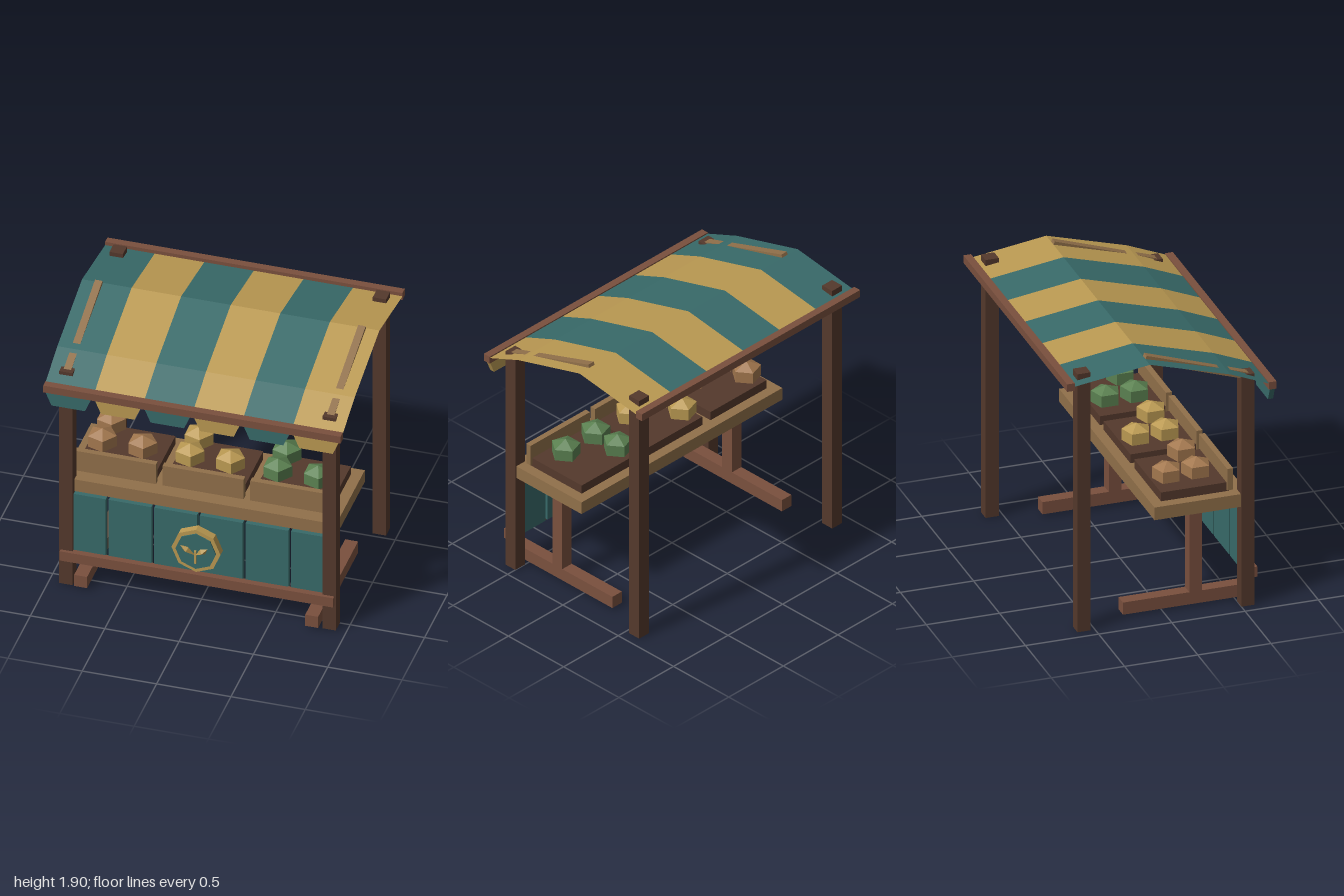
import * as THREE from 'three';

const mat = (name, color, side = THREE.FrontSide) =>
  new THREE.MeshStandardMaterial({ name, color, side, flatShading: true });

export function createModel() {
  const root = new THREE.Group();
  root.name = 'marketStall';

  const darkWood = mat('dark wood', 0x54392c);
  const redWood = mat('red wood', 0x7a503e);
  const wood = mat('light wood', 0x91704a);
  const teal = mat('teal', 0x386a69, THREE.DoubleSide);
  const gold = mat('gold', 0xba9952, THREE.DoubleSide);
  const tan = mat('tan produce', 0xa2774e);
  const green = mat('green produce', 0x5a8050);

  function add(name, geometry, material, x = 0, y = 0, z = 0) {
    const m = new THREE.Mesh(geometry, material);
    m.name = name;
    m.position.set(x, y, z);
    root.add(m);
    return m;
  }
  // Box given by its minimum and maximum on each axis
  const box = (name, material, [x0, x1], [y0, y1], [z0, z1]) =>
    add(name, new THREE.BoxGeometry(x1 - x0, y1 - y0, z1 - z0), material,
      (x0 + x1) / 2, (y0 + y1) / 2, (z0 + z1) / 2);
  const around = (c, size) => [c - size / 2, c + size / 2];

  // Posts, rafters and trestle legs, mirrored
  for (const s of [-1, 1]) {
    const px = around(s * 0.885, 0.09);
    box('frontPost', darkWood, px, [0, 1.66], [0.5, 0.59]);
    box('backPost', darkWood, px, [0, 1.85], [-0.62, -0.53]);

    const rafter = add('rafter', new THREE.BoxGeometry(0.05, 0.047, 0.763), wood, s * 0.885, 1.751, 0.213);
    rafter.rotation.x = 0.325;

    const lx = around(s * 0.777, 0.087);
    box('trestleLeg', redWood, lx, [0.1, 0.695], [0.183, 0.27]);
    box('trestleFoot', redWood, lx, [0.018, 0.105], [-0.27, 0.62]);
  }

  // Horizontal beams
  box('frontBeam', redWood, [-1, 1], [1.562, 1.615], [0.663, 0.715]);
  box('backBeam', redWood, [-1, 1], [1.772, 1.826], [-0.715, -0.663]);
  box('lowerRail', redWood, [-0.92, 0.92], [0.193, 0.265], [0.563, 0.613]);

  // Striped canopy bent over three slopes, with a flap under each stripe
  const profile = [[0.69, 1.595], [0.4, 1.715], [-0.15, 1.874], [-0.69, 1.797]];
  const flapShape = new THREE.Shape([
    [-0.155, 0.1], [-0.113, 0], [0.113, 0], [0.155, 0.1],
  ].map(([x, y]) => new THREE.Vector2(x, y)));
  const flapGeo = new THREE.ExtrudeGeometry(flapShape, { depth: 0.035, bevelEnabled: false });
  for (let i = 0; i < 6; i++) {
    const cloth = i % 2 ? gold : teal;
    const stripe = new THREE.PlaneGeometry(1 / 3, 1, 1, 3);
    const p = stripe.attributes.position;
    for (let v = 0; v < p.count; v++) {
      const [z, y] = profile[3 - Math.floor(v / 2)];
      p.setXYZ(v, p.getX(v), y, z);
    }
    stripe.computeVertexNormals();
    const cx = -1 + (i + 0.5) / 3;
    add('canopyStripe', stripe, cloth, cx);
    add('canopyFlap', flapGeo, cloth, cx, 1.467, 0.675);
  }

  // Counter and front panels
  box('counter', wood, [-0.92, 0.92], [0.712, 0.803], [-0.09, 0.55]);
  for (let i = 0; i < 6; i++) {
    box('frontPanel', teal, around((i - 2.5) * 0.307, 0.289), [0.22, 0.703], [0.53, 0.57]);
  }

  // Produce: five-sided gem shape
  const produceGeo = new THREE.LatheGeometry(
    [[0, -0.081], [0.098, -0.04], [0.098, 0.04], [0, 0.081]].map(([r, y]) => new THREE.Vector2(r, y)),
    5, Math.PI / 2);
  [tan, gold, green].forEach((material, i) => {
    const cx = (i - 1) * 0.59;
    box('tray', darkWood, around(cx, 0.515), [0.8, 0.866], [-0.02, 0.445]);
    box('trayFront', wood, around(cx, 0.545), [0.815, 0.968], [0.427, 0.467]);
    for (const [dx, z] of [[-0.15, 0.26], [0.122, 0.26], [-0.15, 0.06]]) {
      add('produce', produceGeo, material, cx + dx, 0.95, z);
    }
  });

  // Octagonal sign with a sprout
  const octagon = (r) => Array.from({ length: 8 }, (_, i) =>
    new THREE.Vector2(r * Math.cos(i * Math.PI / 4), r * Math.sin(i * Math.PI / 4)));
  const ringShape = new THREE.Shape(octagon(0.165));
  ringShape.holes.push(new THREE.Path(octagon(0.134)));
  add('signRing', new THREE.ExtrudeGeometry(ringShape, { depth: 0.055, bevelEnabled: false }), gold, 0, 0.46, 0.569);
  add('signDisc', new THREE.ExtrudeGeometry(new THREE.Shape(octagon(0.136)),
    { depth: 0.063, bevelEnabled: false }), teal, 0, 0.46, 0.569);
  box('sproutStem', gold, around(0, 0.014), [0.375, 0.47], [0.63, 0.648]);
  for (const s of [-1, 1]) {
    const from = new THREE.Vector3(0, 0.435, 0.64);
    const to = new THREE.Vector3(s * 0.092, 0.52, 0.672);
    const dir = to.clone().sub(from);
    const leafGeo = new THREE.LatheGeometry(
      [[0, 0], [0.024, 0.6], [0, 1]].map(([r, y]) => new THREE.Vector2(r, y * dir.length())), 4);
    const leaf = add('sproutLeaf', leafGeo, gold, from.x, from.y, from.z);
    leaf.quaternion.setFromUnitVectors(new THREE.Vector3(0, 1, 0), dir.normalize());
  }
  return root;
}
